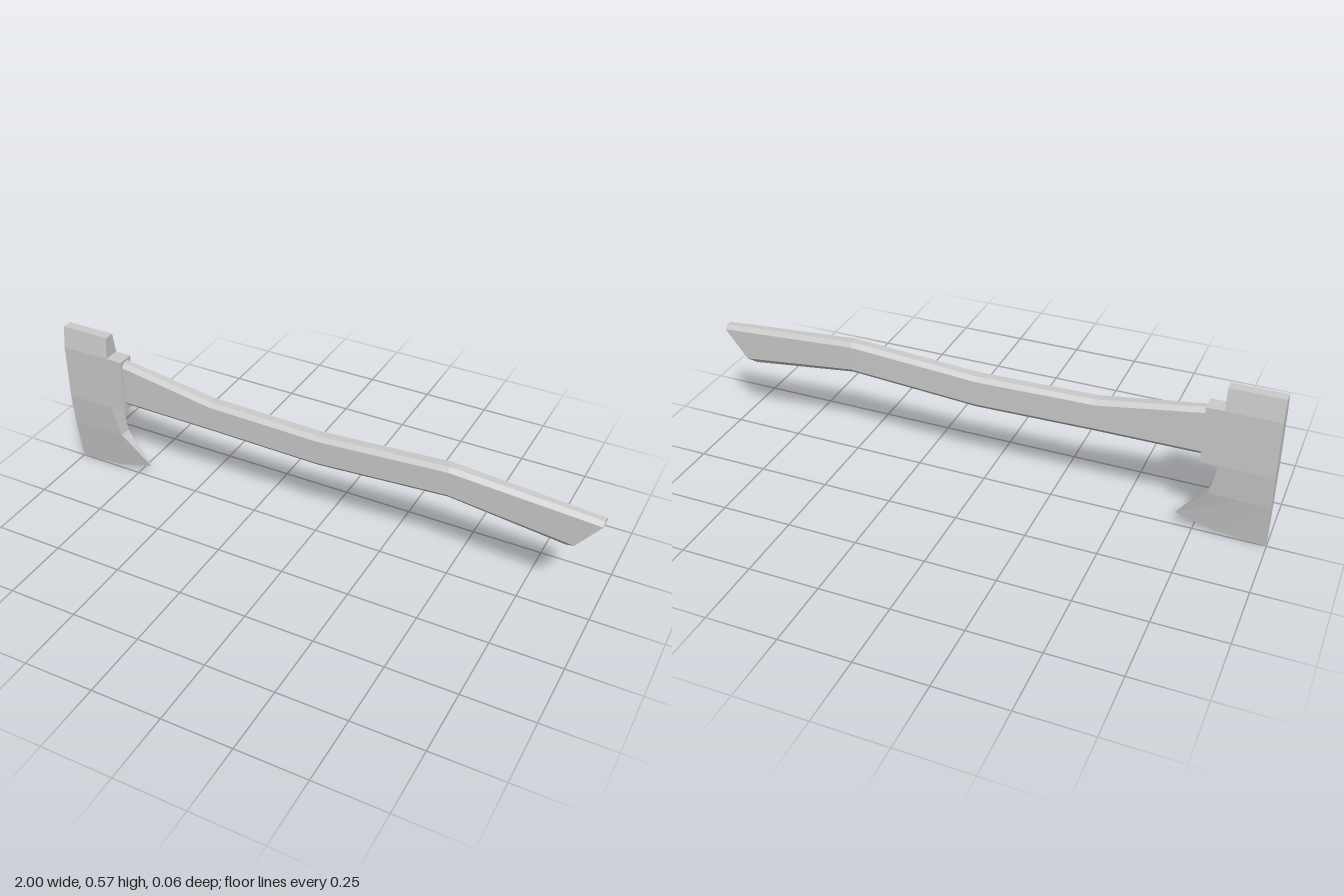
import * as THREE from 'three';

const material = new THREE.MeshStandardMaterial({ color: 0xcccccc, flatShading: true });

// Skin a series of rings (counter-clockwise seen from the last ring) with flat quads.
function loft(name, rings, capStart = true) {
  const pos = [];
  const quad = (a, b, c, d) => pos.push(...a, ...b, ...c, ...a, ...c, ...d);
  const n = rings[0].length;
  for (let i = 0; i < rings.length - 1; i++) {
    const r = rings[i], s = rings[i + 1];
    for (let j = 0; j < n; j++) {
      const k = (j + 1) % n;
      quad(r[j], r[k], s[k], s[j]);
    }
  }
  // End caps, made as strips across the ring
  const first = rings[0], last = rings[rings.length - 1];
  for (let k = 0; k < n / 2 - 1; k++) {
    const id = [(n - k) % n, 1 + k, 2 + k, n - k - 1];
    quad(...id.map(i => last[i]));
    if (capStart) quad(...id.map(i => first[i]).reverse());
  }
  const geo = new THREE.BufferGeometry();
  geo.setAttribute('position', new THREE.Float32BufferAttribute(pos, 3));
  geo.computeVertexNormals();
  const mesh = new THREE.Mesh(geo, material);
  mesh.name = name;
  return mesh;
}

export function createModel() {
  const model = new THREE.Group();
  model.name = 'axe';

  // Axe head: three columns [x, y] per level (rear, middle, front) and a half thickness
  const headRing = ([a, m, b, h]) => [
    [...b, h], [...b, -h], [...m, -h], [...a, -h], [...a, h], [...m, h],
  ];
  const level = (y, front, h) => [[-1, y], [(front - 1) / 2, y], [front, y], h];
  model.add(loft('axeHead', [
    [[-1, 0], [-0.83, 0.012], [-0.688, 0.05], 0], // cutting edge
    level(0.17, -0.793, 0.021),
    level(0.29, -0.818, 0.03),
    level(0.495, -0.818, 0.03),
    level(0.573, -0.818, 0.018),
  ].map(headRing), false));

  // Collar gripping the handle
  const collar = new THREE.Mesh(new THREE.BoxGeometry(0.06, 0.205, 0.06), material);
  collar.position.set(-0.788, 0.3925, 0);
  collar.name = 'collar';
  model.add(collar);

  // Handle: chamfered section; [x, top, bottom, half thickness]
  const c = 0.015;
  const handleRing = ([x, top, bottom, h]) => {
    const w = h - 0.013;
    return [
      [x, top, -w], [x, top, w], [x, top - c, h], [x, bottom + c, h],
      [x, bottom, w], [x, bottom, -w], [x, bottom + c, -h], [x, top - c, -h],
    ];
  };
  const rings = [
    [-0.765, 0.487, 0.311, 0.024],
    [-0.4, 0.43, 0.311, 0.028],
    [0.02, 0.421, 0.303, 0.028],
    [0.49, 0.452, 0.334, 0.028],
    [1, 0.415, 0.282, 0.023],
  ].map(handleRing);
  // Slant the butt end back towards its underside
  const end = rings[rings.length - 1];
  for (const i of [3, 6]) end[i][0] = 0.92;
  for (const i of [4, 5]) end[i][0] = 0.89;
  model.add(loft('handle', rings));

  return model;
}
